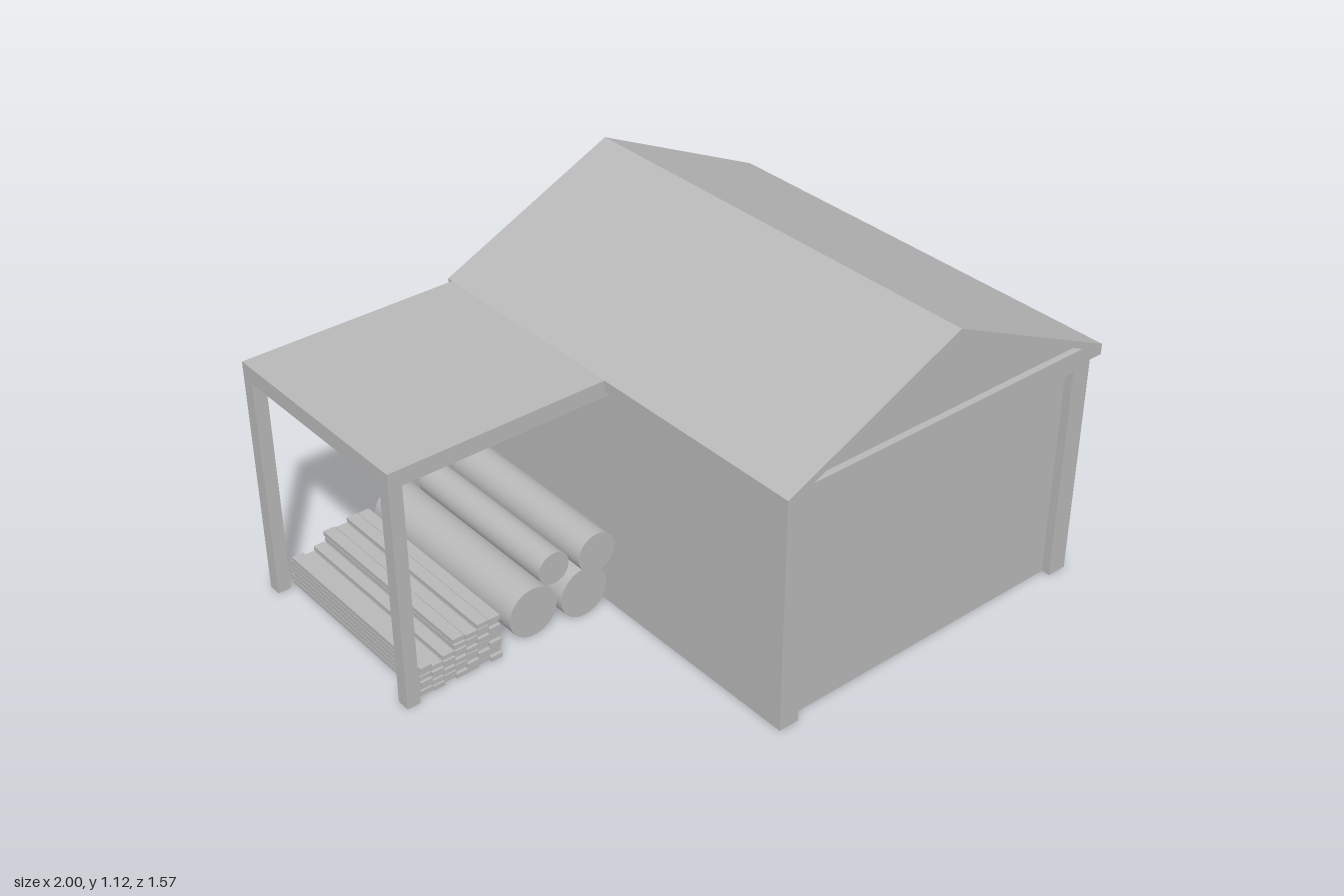
import * as THREE from 'three';

export function createModel() {
  const root = new THREE.Group();
  const clay = new THREE.MeshStandardMaterial({ color: 0xb8b8b8 });
  clay.name = 'plain grey';

  const add = (name, geometry, parent = root) => {
    const mesh = new THREE.Mesh(geometry, clay);
    mesh.name = name;
    parent.add(mesh);
    return mesh;
  };
  const group = (name) => {
    const g = new THREE.Group();
    g.name = name;
    root.add(g);
    return g;
  };
  // Box given by its lower and upper limits
  const box = (name, x0, x1, y0, y1, z0, z1, parent) => {
    const mesh = add(name, new THREE.BoxGeometry(x1 - x0, y1 - y0, z1 - z0), parent);
    mesh.position.set((x0 + x1) / 2, (y0 + y1) / 2, (z0 + z1) / 2);
    return mesh;
  };
  // Flat outline with optional holes, extruded along z
  const points = (list) => list.map(([x, y]) => new THREE.Vector2(x, y));
  const slab = (name, outline, holes, z, depth, parent) => {
    const shape = new THREE.Shape(points(outline));
    shape.holes = holes.map((h) => new THREE.Path(points(h)));
    const mesh = add(name, new THREE.ExtrudeGeometry(shape, { depth, bevelEnabled: false }), parent);
    mesh.position.z = z;
    return mesh;
  };
  const rect = (x0, x1, y0, y1) => [[x0, y0], [x1, y0], [x1, y1], [x0, y1]];

  const L = -0.235, R = 0.98, Z = 0.76, wallTop = 0.79, ridge = 0.3725;

  // Front wall with the recessed garage door
  slab('frontWall', [[L, 0], [-0.165, 0], [-0.165, 0.75], [0.91, 0.75], [0.91, 0],
    [R, 0], [R, wallTop], [L, wallTop]], [], 0.73, 0.03);
  box('garageDoor', -0.165, 0.91, 0, 0.75, 0.722, 0.73);

  // Plain walls; the building is hollow and open below
  box('leftWall', L, L + 0.008, 0, wallTop, -Z, 0.73);
  box('backWall', L, R, 0, wallTop, -Z, -Z + 0.008);
  box('backDoor', 0.22, 0.517, 0.008, 0.512, -Z - 0.008, -Z);

  // Side wall pierced by four recessed window panes
  const panes = [];
  for (const [a, b] of [[0.12, 0.365], [0.39, 0.63]])
    for (const [c, d] of [[0.315, 0.495], [0.505, 0.69]]) panes.push(rect(a, b, c, d));
  const sideWall = slab('rightWall', rect(-0.73, Z - 0.008, 0, wallTop), panes, 0, 0.015);
  sideWall.rotation.y = Math.PI / 2;
  sideWall.position.x = R - 0.015;
  box('windowPanes', R - 0.02, R - 0.015, 0.305, 0.7, -0.64, -0.11);

  // Roof shell and the two gable frames with sunken triangles
  const roofLine = [[-0.255, wallTop], [1, wallTop], [1, 0.825], [ridge, 1.115], [-0.255, 0.825]];
  slab('roof', [[-0.255, wallTop], [L, wallTop], [L, 0.82], [ridge, 1.102], [R, 0.82],
    [R, wallTop], [1, wallTop], [1, 0.825], [ridge, 1.115], [-0.255, 0.825]], [], -Z, 2 * Z);
  const inset = [[-0.165, 0.842], [0.91, 0.842], [ridge, 1.096]];
  for (const s of [1, -1]) {
    const gable = group(s > 0 ? 'frontGable' : 'backGable');
    slab('gableFrame', roofLine, [inset], s > 0 ? Z : -Z - 0.022, 0.022, gable);
    slab('gablePanel', inset, [], s > 0 ? Z - 0.005 : -Z, 0.005, gable);
  }

  // Lean-to canopy on two posts
  box('canopyRoof', -1, L, 0.77, 0.825, -Z, 0);
  box('frontPost', -1, -0.955, 0, 0.77, -0.045, 0);
  box('backPost', -1, -0.955, 0, 0.77, -Z, -Z + 0.045);

  // Log pile: x, y, radius, back end, front end
  const logs = group('logPile');
  for (const [x, y, r, z0, z1] of [
    [-0.512, 0.088, 0.087, -0.77, -0.04],
    [-0.335, 0.088, 0.087, -0.74, -0.02],
    [-0.423, 0.203, 0.056, -0.685, -0.05],
    [-0.305, 0.241, 0.068, -0.783, 0.01],
  ]) {
    const log = add('log', new THREE.CylinderGeometry(r, r, z1 - z0, 40), logs);
    log.rotation.x = Math.PI / 2;
    log.position.set(x, y, (z0 + z1) / 2);
  }

  // Stacked boards, one stack per column
  const boards = group('boardStack');
  const pitch = 0.0415, step = 0.0177;
  [6, 5, 6, 8, 8, 9, 9].forEach((count, c) => {
    for (let i = 0; i < count; i++) {
      const x = -0.935 + c * pitch;
      const shift = 0.006 * Math.sin(c * 2.3 + i * 4.1);
      box('board', x, x + pitch - 0.0015, i * step, i * step + 0.0155, -0.73 + shift, -0.025 + shift, boards);
    }
  });

  return root;
}
